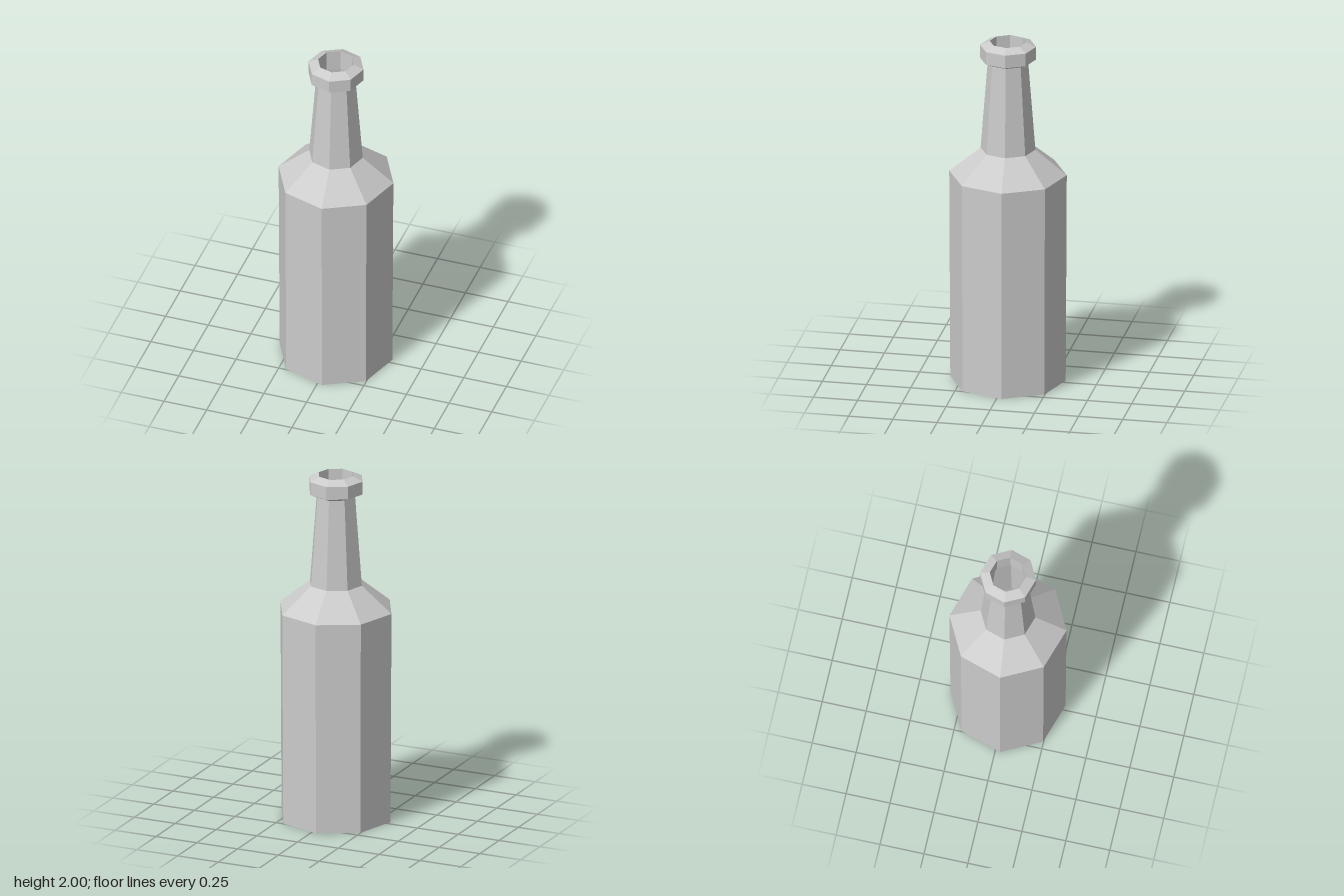
import * as THREE from 'three';

const SIDES = 8;
const TURN = 0.088; // slight twist of the octagon about the vertical axis

export function createModel() {
  const group = new THREE.Group();
  group.name = 'bottle';
  const material = new THREE.MeshStandardMaterial({
    color: 0xcccccc, flatShading: true, side: THREE.DoubleSide,
  });

  // Eight-sided ring of facets from [radius, height] pairs, bottom to top
  const addPart = (name, profile) => {
    const points = profile.map(([r, y]) => new THREE.Vector2(r, y));
    const mesh = new THREE.Mesh(new THREE.LatheGeometry(points, SIDES, TURN), material);
    mesh.name = name;
    group.add(mesh);
  };

  // Closed base and slightly flared body
  addPart('body', [[0, 0], [0.322, 0], [0.328, 1.22]]);
  addPart('shoulder', [[0.328, 1.22], [0.153, 1.365]]);
  addPart('neck', [[0.153, 1.365], [0.113, 1.88]]);
  // Bevelled collar that folds inwards to line the open mouth
  addPart('rim', [[0.113, 1.88], [0.157, 1.9], [0.157, 1.975], [0.102, 2], [0.102, 1.88]]);

  return group;
}
